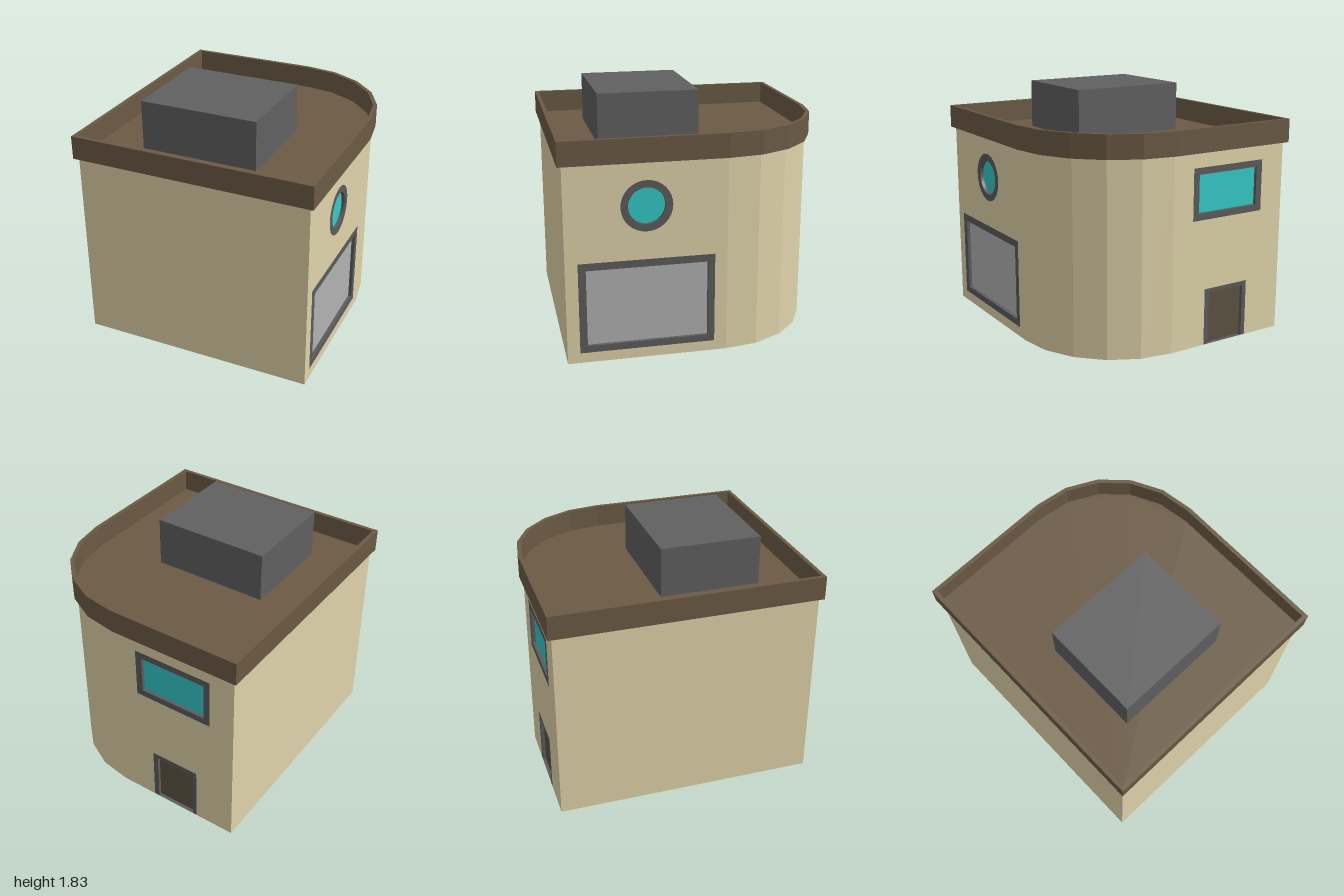
import * as THREE from 'three';

const WALL_TOP = 1.46, RIM_TOP = 1.63, RECESS = 0.03;

const mat = (color) => new THREE.MeshStandardMaterial({ color, flatShading: true, side: THREE.DoubleSide });

function addMesh(parent, name, geometry, material) {
  const mesh = new THREE.Mesh(geometry, material);
  mesh.name = name;
  parent.add(mesh);
  return mesh;
}

// Floor plan as [x, -z] points, counter-clockwise, with one rounded back corner
function plan(inset) {
  const x = 0.915 - inset, z = 1 - inset, r = 0.81 - inset;
  const pts = [new THREE.Vector2(-x, -z), new THREE.Vector2(x, -z)];
  for (let i = 0; i <= 5; i++) {
    const a = (i / 5) * Math.PI / 2;
    pts.push(new THREE.Vector2(0.105 + r * Math.cos(a), 0.19 + r * Math.sin(a)));
  }
  pts.push(new THREE.Vector2(-x, z));
  return pts;
}

// Upright wall panels between neighbouring plan points
function wallPanels(pts, edges) {
  const pos = [];
  for (const i of edges) {
    const a = pts[i], b = pts[(i + 1) % pts.length];
    const a0 = [a.x, 0, -a.y], b0 = [b.x, 0, -b.y];
    const a1 = [a.x, WALL_TOP, -a.y], b1 = [b.x, WALL_TOP, -b.y];
    pos.push(...a0, ...b0, ...b1, ...a0, ...b1, ...a1);
  }
  const g = new THREE.BufferGeometry();
  g.setAttribute('position', new THREE.Float32BufferAttribute(pos, 3));
  g.computeVertexNormals();
  return g;
}

function rect(u0, y0, u1, y1) {
  return [[u0, y0], [u1, y0], [u1, y1], [u0, y1]].map(([u, y]) => new THREE.Vector2(u, y));
}

function disc(u, y, r) {
  return Array.from({ length: 32 }, (_, i) => {
    const a = (i / 32) * Math.PI * 2;
    return new THREE.Vector2(u + r * Math.cos(a), y + r * Math.sin(a));
  });
}

// Flat wall with openings; each opening gets a flush frame and a recessed pane
function facade(name, u0, u1, openings, wallMat, frameMat) {
  const group = new THREE.Group();
  group.name = name;
  const wall = new THREE.Shape(rect(u0, 0, u1, WALL_TOP));
  for (const o of openings) {
    wall.holes.push(new THREE.Path(o.outer));
    const frame = new THREE.Shape(o.outer);
    frame.holes.push(new THREE.Path(o.inner));
    const g = new THREE.ExtrudeGeometry(frame, { depth: RECESS, bevelEnabled: false });
    g.translate(0, 0, -RECESS);
    addMesh(group, o.name + 'Frame', g, frameMat);
    addMesh(group, o.name, new THREE.ShapeGeometry(new THREE.Shape(o.inner)), mat(o.color))
      .position.z = -RECESS + 0.005;
  }
  addMesh(group, name + 'Wall', new THREE.ShapeGeometry(wall), wallMat);
  return group;
}

export function createModel() {
  const model = new THREE.Group();
  model.name = 'building';
  const wallMat = mat(0xe0d4aa), roofMat = mat(0x6b5a44), frameMat = mat(0x5c5c5c);
  const inner = plan(0.03);

  // Plain front and side walls plus the faceted corner, open underneath
  addMesh(model, 'plainWalls', wallPanels(inner, [0, 8]), wallMat);
  addMesh(model, 'roundedCorner', wallPanels(inner, [2, 3, 4, 5, 6]), wallMat);

  // Side wall with the large shutter and round window
  const side = facade('side', -0.97, 0.19, [
    { name: 'shutter', outer: rect(-0.88, 0.075, 0.10, 0.75), inner: rect(-0.825, 0.125, 0.05, 0.695), color: 0xb2b2b2 },
    { name: 'roundWindow', outer: disc(-0.39, 1.14, 0.185), inner: disc(-0.39, 1.14, 0.132), color: 0x34cac8 },
  ], wallMat, frameMat);
  side.position.x = 0.885;
  side.rotation.y = Math.PI / 2;

  // Back wall with the door and wide window
  const back = facade('back', -0.105, 0.885, [
    { name: 'door', outer: rect(0.185, 0.002, 0.575, 0.433), inner: rect(0.225, 0.004, 0.54, 0.4), color: 0x5c5242 },
    { name: 'wideWindow', outer: rect(0.065, 0.96, 0.69, 1.345), inner: rect(0.115, 1.01, 0.64, 1.295), color: 0x34cac8 },
  ], wallMat, frameMat);
  back.position.z = -0.97;
  back.rotation.y = Math.PI;
  model.add(side, back);

  // Roof deck and the overhanging parapet around it
  const deck = new THREE.ShapeGeometry(new THREE.Shape(inner)).rotateX(-Math.PI / 2);
  addMesh(model, 'roofDeck', deck, roofMat).position.y = WALL_TOP;
  const rim = new THREE.Shape(plan(0));
  rim.holes.push(new THREE.Path(inner));
  const rimGeo = new THREE.ExtrudeGeometry(rim, { depth: RIM_TOP - 1.455, bevelEnabled: false });
  addMesh(model, 'parapet', rimGeo.rotateX(-Math.PI / 2), roofMat).position.y = 1.455;

  // Rooftop unit
  addMesh(model, 'roofUnit', new THREE.BoxGeometry(0.895, 1.83 - WALL_TOP, 0.75), mat(0x606060))
    .position.set(-0.092, (1.83 + WALL_TOP) / 2, 0.273);

  return model;
}
